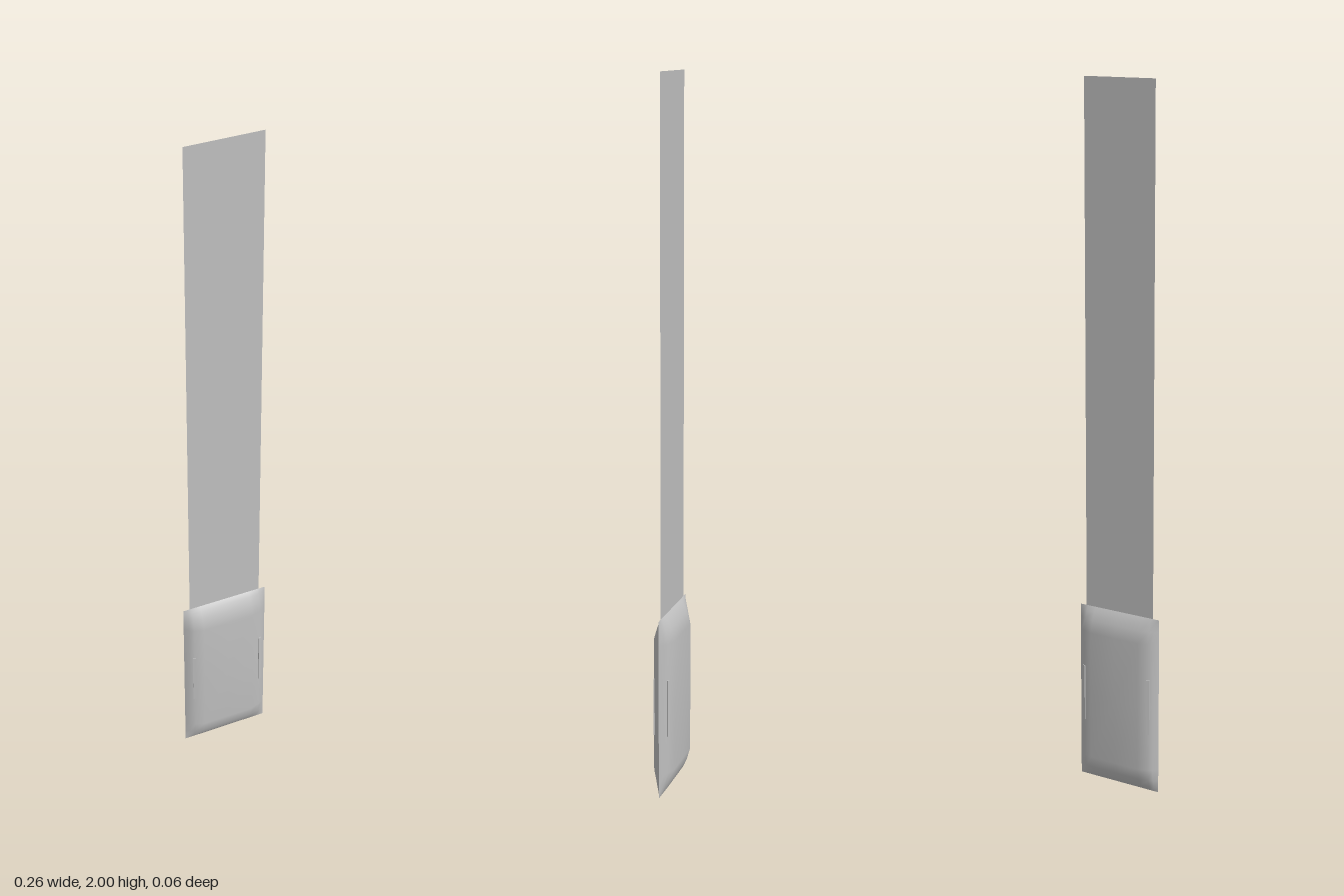
import * as THREE from 'three';

const W = 0.13, Y0 = 0.005, Y1 = 0.525, DEPTH = 0.03;

// Cross-section across the width: position and relative thickness
const across = [[-W, 0], [-0.118, 0.45], [-0.105, 0.68], [-0.078, 1], [0, 1], [0.078, 1], [0.105, 0.68], [0.118, 0.45], [W, 0]];
// Profile along the height: position and relative thickness
const along = [[Y0, 0], [0.018, 0.33], [0.04, 0.66], [0.075, 1], [0.265, 1], [0.455, 1], [0.49, 0.66], [0.512, 0.33], [Y1, 0]];

// One pillow-shaped half of the end piece; side is +1 for front, -1 for back
function shellHalf(side) {
  const nx = across.length - 1, ny = along.length - 1;
  const geo = new THREE.PlaneGeometry(1, 1, nx, ny);
  const p = geo.attributes.position;
  for (let j = 0; j <= ny; j++) {
    for (let i = 0; i <= nx; i++) {
      const [x, tx] = across[i];
      const [y, ty] = along[ny - j];
      p.setXYZ(j * (nx + 1) + i, x * side, y, side * DEPTH * tx * ty);
    }
  }
  geo.computeVertexNormals();
  return geo;
}

export function createModel() {
  const group = new THREE.Group();
  const metal = new THREE.MeshStandardMaterial({ color: 0xc0c0c0, side: THREE.DoubleSide });
  metal.name = 'light grey';

  const add = (name, geo, parent = group) => {
    const mesh = new THREE.Mesh(geo, metal);
    mesh.name = name;
    parent.add(mesh);
    return mesh;
  };

  // Flat strap of negligible thickness
  add('strap', new THREE.PlaneGeometry(0.22, 1.485, 2, 1)).position.set(0, 1.2575, 0);

  // Pillow-shaped end piece
  const endPiece = new THREE.Group();
  endPiece.name = 'endPiece';
  group.add(endPiece);
  add('frontShell', shellHalf(1), endPiece);
  add('backShell', shellHalf(-1), endPiece);

  // Slim grip ribs on the four bevelled edges
  for (const sx of [-1, 1]) {
    for (const sz of [-1, 1]) {
      const rib = add('gripRib', new THREE.BoxGeometry(0.009, 0.165, 0.005), endPiece);
      rib.position.set(sx * 0.106, 0.267, sz * 0.02);
      rib.rotation.y = sx * sz * 0.35;
    }
  }
  return group;
}
